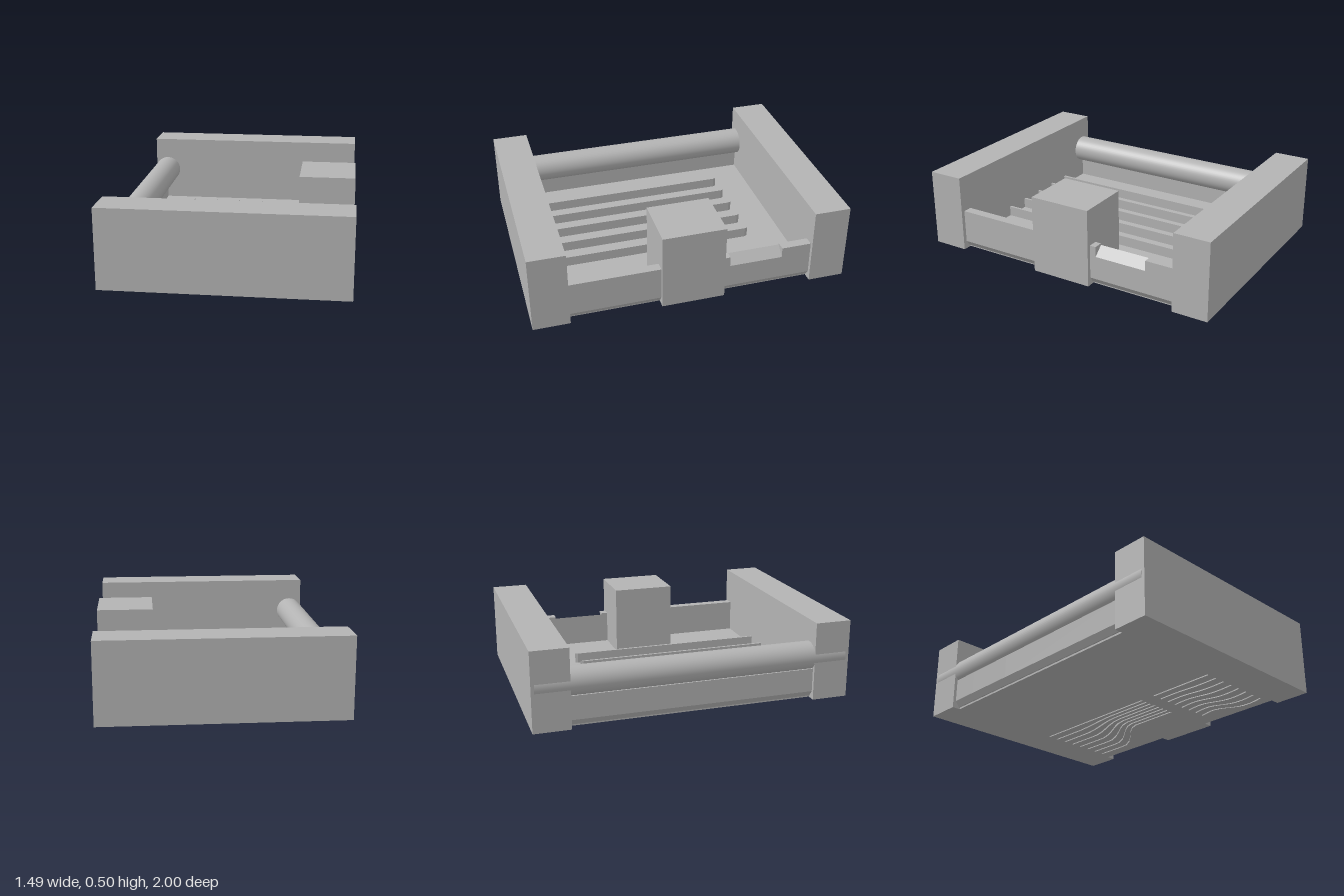
import * as THREE from 'three';

export function createModel() {
  const model = new THREE.Group();
  const grey = new THREE.MeshStandardMaterial({ color: 0xb3b3b3 });
  grey.name = 'plain grey';

  const add = (name, geometry, x = 0, y = 0, z = 0) => {
    const mesh = new THREE.Mesh(geometry, grey);
    mesh.name = name;
    mesh.position.set(x, y, z);
    model.add(mesh);
    return mesh;
  };
  const shapeOf = (pts) => new THREE.Shape(pts.map(([x, y]) => new THREE.Vector2(x, y)));
  const extrude = (shape, depth) =>
    new THREE.ExtrudeGeometry(shape, { depth, bevelEnabled: false, curveSegments: 6 });

  // End plates and the tall block between them
  for (const side of [1, -1]) {
    add(side > 0 ? 'frontPlate' : 'backPlate',
      new THREE.BoxGeometry(1.485, 0.5, 0.23), 0.0025, 0.25, side * 0.885);
  }
  add('sideBlock', new THREE.BoxGeometry(0.355, 0.5, 0.4), 0.5675, 0.25, 0);

  // Roller running through both plates
  add('roller', new THREE.CylinderGeometry(0.0895, 0.0895, 1.96, 48).rotateX(Math.PI / 2),
    -0.655, 0.271, 0);

  // Tray in three lengths; the middle one has a sloping notch in its right wall
  const skin = 0.012;
  const trayLength = (name, z0, z1, outerTop, innerTop) => {
    const profile = shapeOf([
      [-0.693, skin], [0.693, skin], [0.72, 0.05], [0.72, outerTop], [0.66, innerTop],
      [0.66, 0.055], [-0.66, 0.055], [-0.66, 0.2], [-0.72, 0.2], [-0.72, 0.05],
    ]);
    add(name, extrude(profile, z1 - z0), 0, 0, z0);
  };
  trayLength('trayFront', -0.24, 0.77, 0.265, 0.265);
  trayLength('trayNotch', -0.58, -0.24, 0.2, 0.255);
  trayLength('trayBack', -0.77, -0.58, 0.265, 0.265);

  // Underside skin with wavy slots that bend around the block
  const underside = shapeOf([[-0.685, -0.77], [0.685, -0.77], [0.685, 0.77], [-0.685, 0.77]]);
  const smooth = (t) => t * t * (3 - 2 * t);
  const addSlots = (zFrom, zTo, xFrom, xTo, wave) => {
    const count = 8;
    const steps = 14;
    const half = 0.006;
    for (let i = 0; i < count; i++) {
      const f = i / (count - 1);
      const a = 0.08 + f * (xFrom - 0.08);
      const b = 0.08 + f * (xTo - 0.08);
      const near = [];
      const far = [];
      for (let s = 0; s <= steps; s++) {
        const t = s / steps;
        const bend = smooth(THREE.MathUtils.clamp((t - 0.35) / 0.4, 0, 1));
        const x = a + (b - a) * bend + wave * f * Math.sin(t * Math.PI * 2);
        const z = zFrom + (zTo - zFrom) * t;
        near.push(new THREE.Vector2(x - half, z));
        far.unshift(new THREE.Vector2(x + half, z));
      }
      underside.holes.push(new THREE.Path([...near, ...far]));
    }
  };
  addSlots(0.74, 0.28, 0.6, 0.56, 0.02);
  addSlots(0.18, -0.75, 0.36, 0.6, 0);
  add('undersideSkin', extrude(underside, skin).rotateX(Math.PI / 2), 0, skin, 0);

  // Thin ribs on the tray floor, pointed at their back ends
  const rib = shapeOf([
    [-0.008, -0.77], [0.008, -0.77], [0.008, 0.515], [0, 0.533], [-0.008, 0.515],
  ]);
  for (let i = 0; i < 5; i++) {
    add('rib', extrude(rib, 0.07).rotateX(-Math.PI / 2), -0.415 + i * 0.165, 0.05, 0);
  }
  return model;
}
